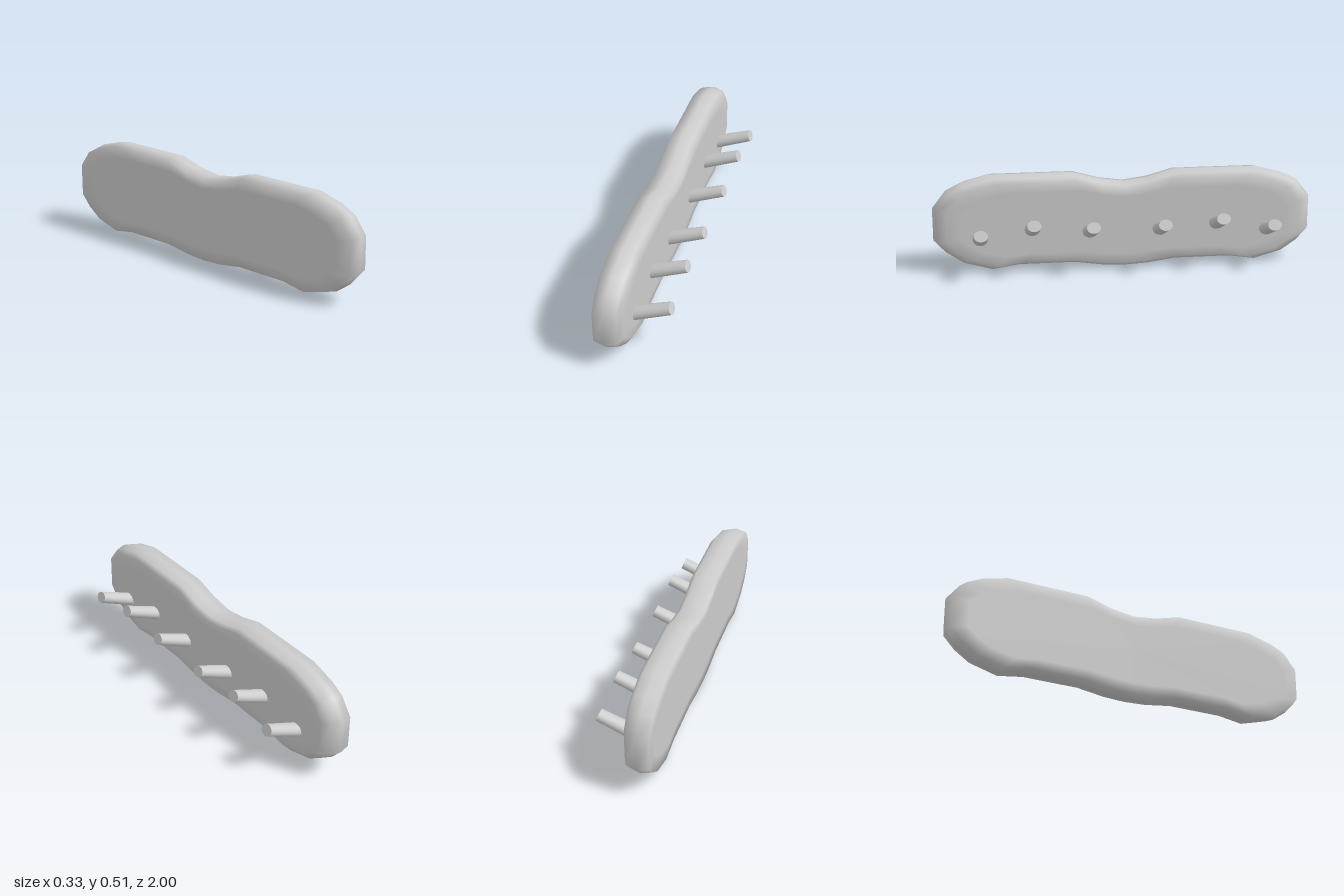
import * as THREE from 'three';

const MID_Y = 0.257;

// Half of the board outline as [z, y], from top centre round to bottom centre
const HALF = [
  [0, 0.455], [0.13, 0.473], [0.27, 0.513], [0.49, 0.513], [0.71, 0.513], [0.85, 0.475],
  [0.93, 0.435], [1, 0.345], [1, 0.17], [0.94, 0.105], [0.86, 0.05],
  [0.71, 0.008], [0.57, 0.03], [0.27, 0.03], [0.12, 0.008], [0, 0.002],
];

// Board sections from back to front: x, z scale, y scale
const SECTIONS = [
  [-0.168, 0.9, 0.72], [-0.168, 0.985, 0.96], [-0.108, 1, 1],
  [-0.05, 0.98, 0.96], [-0.028, 0.93, 0.88], [-0.028, 0.86, 0.68],
];

function boardGeometry() {
  const mirrored = HALF.slice(1, -1).reverse().map(([z, y]) => [-z, y]);
  const outline = [...HALF, ...mirrored];
  const n = outline.length;
  const positions = [];
  const index = [];
  for (const [x, sz, sy] of SECTIONS) {
    for (const [z, y] of outline) {
      const py = MID_Y + (y - MID_Y) * sy;
      // the back leans in slightly towards the bottom
      const lean = x < -0.15 ? 0.005 * (1 - py / 0.513) : 0;
      positions.push(x + lean, py, z * sz);
    }
  }
  const back = SECTIONS.length * n;
  const front = back + 1;
  positions.push(-0.1655, MID_Y, 0, -0.028, MID_Y, 0);
  const last = (SECTIONS.length - 1) * n;
  for (let j = 0; j < n; j++) {
    const k = (j + 1) % n;
    for (let i = 0; i < last; i += n) {
      index.push(i + j, i + k, i + n + j, i + k, i + n + k, i + n + j);
    }
    index.push(back, k, j, front, last + j, last + k);
  }
  const geometry = new THREE.BufferGeometry();
  geometry.setAttribute('position', new THREE.Float32BufferAttribute(positions, 3));
  geometry.setIndex(index);
  geometry.computeVertexNormals();
  return geometry;
}

export function createModel() {
  const model = new THREE.Group();
  const material = new THREE.MeshStandardMaterial({ color: 0xcccccc });

  const board = new THREE.Mesh(boardGeometry(), material);
  board.name = 'board';
  model.add(board);

  // Tapered oval pegs, tilted upwards: distance from centre, tip height
  const length = 0.24;
  const tilt = THREE.MathUtils.degToRad(21.5);
  const pegGeometry = new THREE.CylinderGeometry(0.0295, 0.035, length, 16);
  pegGeometry.translate(0, -length / 2, 0);
  pegGeometry.scale(1, 1, 1.22);
  pegGeometry.rotateZ(tilt - Math.PI / 2);
  for (const [z, y] of [[0.185, 0.285], [0.487, 0.306], [0.757, 0.263]]) {
    for (const side of [1, -1]) {
      const peg = new THREE.Mesh(pegGeometry, material);
      peg.name = 'peg';
      peg.position.set(0.154, y, side * z);
      model.add(peg);
    }
  }
  return model;
}
